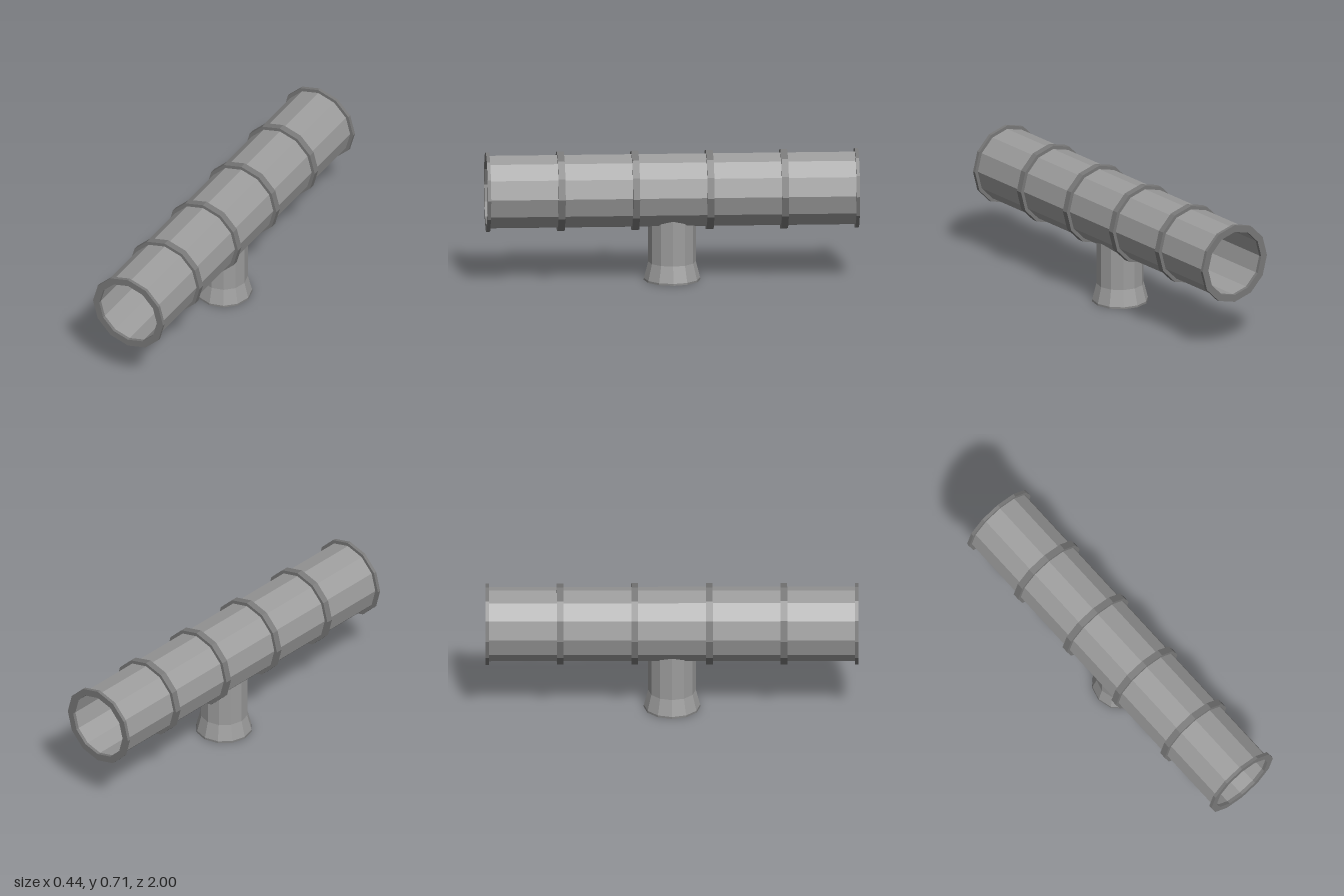
import * as THREE from 'three';

const SIDES = 12;
const PIPE_Y = 0.493;
const PIPE_R = 0.2;
const BORE_R = 0.18;
const COLLAR_R = 0.219;
const END_WIDTH = 0.018;

const bodyMaterial = new THREE.MeshStandardMaterial({ color: 0x9c9c9c, flatShading: true });
const trimMaterial = new THREE.MeshStandardMaterial({ color: 0x797979, flatShading: true });

// Faceted solid of revolution about y from [radius, height] pairs
function turned(name, material, profile) {
  const points = profile.map(([r, y]) => new THREE.Vector2(r, y));
  const mesh = new THREE.Mesh(new THREE.LatheGeometry(points, SIDES), material);
  mesh.name = name;
  return mesh;
}

// Ring laid along z at the height of the pipe, with all four walls
function ringAlongZ(name, material, inner, outer, z, width) {
  const a = z - width / 2, b = z + width / 2;
  const mesh = turned(name, material, [[inner, a], [outer, a], [outer, b], [inner, b], [inner, a]]);
  mesh.geometry.rotateX(Math.PI / 2);
  mesh.position.y = PIPE_Y;
  return mesh;
}

// Height of the faceted underside of the pipe at a given x
function pipeUnderside(x) {
  const step = (2 * Math.PI) / SIDES;
  const ax = Math.abs(x);
  for (let i = 0; i < SIDES / 4; i++) {
    const x0 = PIPE_R * Math.sin(i * step), x1 = PIPE_R * Math.sin((i + 1) * step);
    if (ax <= x1) {
      const y0 = PIPE_R * Math.cos(i * step), y1 = PIPE_R * Math.cos((i + 1) * step);
      return PIPE_Y - THREE.MathUtils.lerp(y0, y1, (ax - x0) / (x1 - x0));
    }
  }
  return PIPE_Y;
}

export function createModel() {
  const model = new THREE.Group();
  model.name = 'pipeOnStand';

  // Hollow main pipe, open at both ends
  model.add(ringAlongZ('pipe', bodyMaterial, BORE_R, PIPE_R, 0, 2 - 2 * END_WIDTH));

  // Darker collars: end rings that cap the wall, and wider bands between
  for (const side of [-1, 1]) {
    model.add(ringAlongZ('endCollar', trimMaterial, BORE_R, COLLAR_R, side * (1 - END_WIDTH / 2), END_WIDTH));
    for (const z of [0.2, 0.6]) {
      model.add(ringAlongZ('collar', trimMaterial, PIPE_R, COLLAR_R, side * z, 0.037));
    }
  }

  // Flared stand
  const TOP = 0.3;
  const stand = turned('stand', bodyMaterial, [[0.151, 0.01], [0.128, 0.1], [0.128, TOP]]);

  // Cut the top of the stand to fit the pipe
  const pos = stand.geometry.attributes.position;
  for (let i = 0; i < pos.count; i++) {
    if (pos.getY(i) > TOP - 0.01) pos.setY(i, pipeUnderside(pos.getX(i)) + 0.003);
  }
  stand.geometry.computeVertexNormals();
  model.add(stand);

  // Dark foot with a recessed underside
  model.add(turned('foot', trimMaterial, [
    [0, 0.02], [0.105, 0.02], [0.109, 0], [0.153, 0], [0.151, 0.01],
  ]));

  // Lighter concentric ridges inside the foot
  for (const r of [0.06, 0.09]) {
    model.add(turned('footRidge', bodyMaterial, [
      [r, 0.02], [r + 0.002, 0.008], [r + 0.01, 0.008], [r + 0.012, 0.02],
    ]));
  }

  return model;
}
